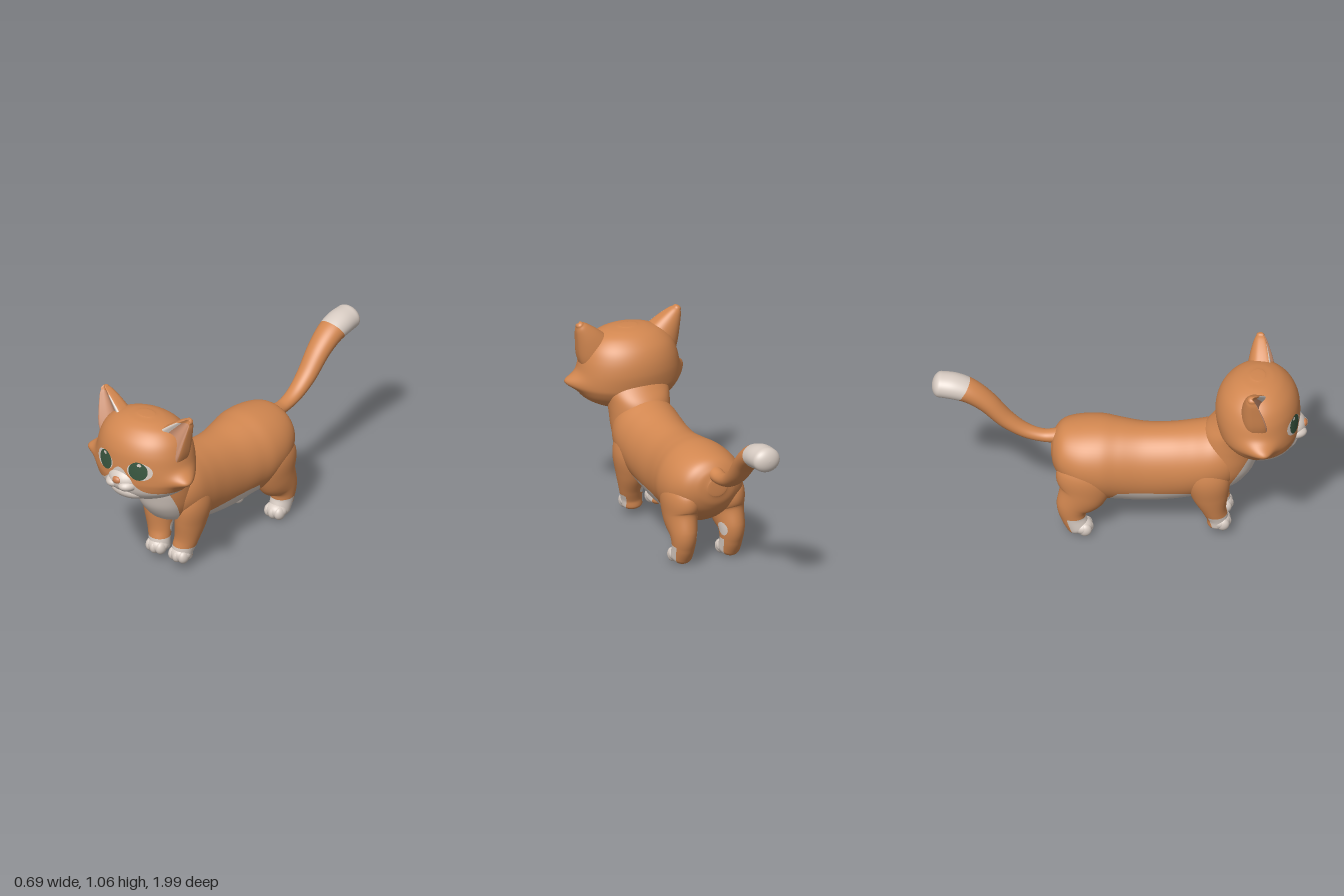
import * as THREE from 'three';

const flat = (name, color) => {
  const m = new THREE.MeshStandardMaterial({ color });
  m.name = name;
  return m;
};

// Smooth tube through keys [x, y, z, halfWidth, halfDepth], closed by rounded caps.
// Rings stand square to the path, or to a fixed axis when one is given.
// The uv attribute holds the cosine and sine of the angle around each ring.
function loft(keys, { capA = 0.02, capB = 0.02, segs = 48, steps = 8, axis, depth = s => s, move } = {}) {
  const path = new THREE.CatmullRomCurve3(keys.map(k => new THREE.Vector3(k[0], k[1], k[2])), false, 'catmullrom');
  const size = new THREE.CatmullRomCurve3(keys.map(k => new THREE.Vector3(k[3], k[4], 0)), false, 'catmullrom');
  const rings = [], CAP = 10, n = (keys.length - 1) * steps;
  for (let i = 0; i < CAP; i++) {
    const a = i / CAP * Math.PI / 2;
    rings.push([0, -capA * Math.cos(a), Math.sin(a)]);
  }
  for (let i = 0; i <= n; i++) rings.push([i / n, 0, 1]);
  for (let i = CAP - 1; i >= 0; i--) {
    const a = i / CAP * Math.PI / 2;
    rings.push([1, capB * Math.cos(a), Math.sin(a)]);
  }
  const pos = [], uv = [], index = [];
  rings.forEach(([t, off, scale], i) => {
    const T = axis || path.getTangent(t), P = path.getPoint(t).addScaledVector(T, off), R = size.getPoint(t);
    const U = new THREE.Vector3(1, 0, 0).addScaledVector(T, -T.x).normalize();
    const V = new THREE.Vector3().crossVectors(T, U);
    for (let j = 0; j < segs; j++) {
      const a = j / segs * Math.PI * 2, c = Math.cos(a), s = Math.sin(a);
      const p = P.clone().addScaledVector(U, c * R.x * scale).addScaledVector(V, depth(s) * R.y * scale);
      if (move) move(p);
      pos.push(p.x, p.y, p.z);
      uv.push(c, s);
      if (i < rings.length - 1) {
        const k = (j + 1) % segs, A = i * segs + j, B = i * segs + k, C = A + segs, D = B + segs;
        index.push(A, B, C, B, D, C);
      }
    }
  });
  const g = new THREE.BufferGeometry();
  g.setAttribute('position', new THREE.Float32BufferAttribute(pos, 3));
  g.setAttribute('uv', new THREE.Float32BufferAttribute(uv, 2));
  g.setIndex(index);
  g.computeVertexNormals();
  return g;
}

// Part of a polygon where sign * value >= 0
function clip(poly, vals, sign) {
  const out = [];
  poly.forEach((p, i) => {
    const k = (i + 1) % poly.length, a = vals[i] * sign, b = vals[k] * sign;
    if (a >= 0) out.push(p);
    if ((a > 0 && b < 0) || (a < 0 && b > 0)) out.push(p.map((v, m) => v + (poly[k][m] - v) * a / (a - b)));
  });
  return out;
}

// Cuts a surface cleanly along field(x, y, z, c, s) = 0; positive areas take the layer's material.
function painted(name, geo, base, layers) {
  const g = geo.toNonIndexed(), { position: P, normal: N, uv: W } = g.attributes;
  const mats = [...new Set([...layers.map(l => l[0]), base])];
  const buckets = mats.map(() => []);
  for (let i = 0; i < P.count; i += 3) {
    let rest = [[0, 1, 2].map(k => {
      const v = i + k;
      return [P.getX(v), P.getY(v), P.getZ(v), W.getX(v), W.getY(v), N.getX(v), N.getY(v), N.getZ(v)];
    })];
    for (const [mat, f] of layers) {
      const next = [];
      for (const poly of rest) {
        const vals = poly.map(p => f(...p) || -1e-9);
        const hit = clip(poly, vals, 1), miss = clip(poly, vals, -1);
        if (hit.length > 2) buckets[mats.indexOf(mat)].push(hit);
        if (miss.length > 2) next.push(miss);
      }
      rest = next;
    }
    buckets[mats.indexOf(base)].push(...rest);
  }
  const pos = [], nor = [], out = new THREE.BufferGeometry();
  buckets.forEach((polys, m) => {
    const start = pos.length / 3;
    for (const poly of polys) for (let k = 1; k < poly.length - 1; k++) {
      for (const p of [poly[0], poly[k], poly[k + 1]]) {
        pos.push(p[0], p[1], p[2]);
        nor.push(p[5], p[6], p[7]);
      }
    }
    out.addGroup(start, pos.length / 3 - start, m);
  });
  out.setAttribute('position', new THREE.Float32BufferAttribute(pos, 3));
  out.setAttribute('normal', new THREE.Float32BufferAttribute(nor, 3));
  const mesh = new THREE.Mesh(out, mats);
  mesh.name = name;
  return mesh;
}

function blob(name, mat, p, r) {
  const mesh = new THREE.Mesh(new THREE.SphereGeometry(1, 28, 20), mat);
  mesh.name = name;
  mesh.position.set(...p);
  mesh.scale.set(...r);
  return mesh;
}

const ellipse = (x, y, cx, cy, rx, ry) => 1 - ((x - cx) / rx) ** 2 - ((y - cy) / ry) ** 2;

export function createModel() {
  const cat = new THREE.Group();
  cat.name = 'cat';
  const orange = flat('orangeFur', 0xd28750), cream = flat('creamFur', 0xd8ccc3);
  const green = flat('eyeGreen', 0x395740), pink = flat('earPink', 0xd09474), noseMat = flat('noseOrange', 0xcc8152);
  const up = new THREE.Vector3(0, 1, 0), forward = new THREE.Vector3(0, 0, 1);

  // Torso and neck with cream chest and belly
  const chest = [cream, (x, y, z) => Math.min(
    ellipse(x, y, 0, 0.43, 0.143, y < 0.43 ? 0.18 : 0.3), (z - 0.555 - Math.max(0, y - 0.28) * 0.55) * 10)];
  const belly = [cream, (x, y, z) => Math.min(0.293 - y, z + (0.293 - y) * 0.8, 0.62 - z)];
  cat.add(painted('body', loft([
    [0, 0.46, -0.362, 0.06, 0.055], [0, 0.455, -0.345, 0.118, 0.105], [0, 0.445, -0.3, 0.176, 0.158],
    [0, 0.424, -0.21, 0.215, 0.202], [0, 0.41, -0.1, 0.222, 0.225], [0, 0.4, 0, 0.203, 0.225],
    [0, 0.39, 0.13, 0.184, 0.223], [0, 0.402, 0.27, 0.181, 0.22], [0, 0.427, 0.39, 0.187, 0.215],
    [0, 0.459, 0.5, 0.188, 0.202], [0, 0.468, 0.58, 0.165, 0.17], [0, 0.468, 0.635, 0.115, 0.11]],
  { capA: 0.005, capB: 0.02, segs: 64, axis: forward }), orange, [chest, belly]));
  cat.add(painted('neck', loft([
    [0, 0.285, 0.525, 0.06, 0.05], [0, 0.32, 0.54, 0.11, 0.1], [0, 0.4, 0.56, 0.145, 0.142],
    [0, 0.48, 0.575, 0.16, 0.156], [0, 0.57, 0.59, 0.165, 0.164], [0, 0.64, 0.612, 0.17, 0.167],
    [0, 0.7, 0.657, 0.185, 0.163], [0, 0.75, 0.695, 0.19, 0.16]],
  { capA: 0.005, capB: 0.005, segs: 64, axis: up }), orange, [chest]));

  // Head: the sides are drawn out into pointed cheeks
  const cheek = p => {
    const k = (Math.abs(p.x) / 0.295) ** 7 * Math.exp(-(((p.y - 0.708) / 0.042) ** 2) - ((p.z - 0.755) / 0.1) ** 2);
    p.x += Math.sign(p.x) * 0.056 * k;
    p.z += 0.045 * k;
  };
  const face = (z, v) => Math.min(v, (z - 0.75) * 10);
  cat.add(painted('head', loft([
    [0, 0.541, 0.762, 0.05, 0.05], [0, 0.55, 0.76, 0.105, 0.1], [0, 0.575, 0.757, 0.182, 0.15],
    [0, 0.62, 0.75, 0.252, 0.19], [0, 0.67, 0.74, 0.284, 0.213], [0, 0.71, 0.735, 0.292, 0.22],
    [0, 0.78, 0.73, 0.282, 0.224], [0, 0.85, 0.73, 0.265, 0.215], [0, 0.91, 0.73, 0.236, 0.188],
    [0, 0.957, 0.73, 0.186, 0.142], [0, 0.983, 0.73, 0.12, 0.092], [0, 0.994, 0.73, 0.055, 0.042]],
  { capA: 0.003, capB: 0.003, segs: 128, steps: 9, axis: up, move: cheek }), orange, [
    [cream, (x, y, z) => face(z, ellipse(Math.abs(x), y, 0.115, 0.803, 0.014, 0.01))],
    [green, (x, y, z) => face(z, ellipse(Math.abs(x), y, 0.109, 0.766, 0.052, 0.053))],
    [cream, (x, y, z) => face(z, ellipse(Math.abs(x), y, 0.117, 0.765, 0.068, 0.051))],
    [cream, (x, y, z) => 0.635 + 0.13 * Math.exp(-((x / 0.087) ** 2)) - Math.max(0, 0.76 - z) * 1.3 - y],
  ]));

  // Muzzle and nose
  cat.add(blob('muzzle', cream, [0, 0.682, 0.897], [0.097, 0.074, 0.09]));
  cat.add(blob('chin', cream, [0, 0.606, 0.866], [0.12, 0.05, 0.079]));
  cat.add(blob('nose', noseMat, [0, 0.695, 0.976], [0.028, 0.021, 0.018]));

  for (const s of [1, -1]) {
    const side = s > 0 ? 'left' : 'right';
    cat.add(blob(side + 'Lip', cream, [s * 0.04, 0.665, 0.915], [0.055, 0.037, 0.079]));

    // Ear: a cup with a forward rim and a shallow hollow
    const cup = v => (v < 0 ? -0.95 * Math.sin(-2.7 * v) : v);
    cat.add(painted(side + 'Ear', loft([
      [s * 0.17, 0.85, 0.73, 0.112, 0.074], [s * 0.2, 0.9, 0.728, 0.098, 0.07], [s * 0.238, 0.965, 0.724, 0.068, 0.054],
      [s * 0.272, 1.02, 0.721, 0.038, 0.034], [s * 0.286, 1.042, 0.72, 0.021, 0.021]],
    { capB: 0.016, depth: cup }), orange, [
      [cream, (x, y, z, c, v) => Math.min(-v - 0.4, -c * s - 0.5, 1.03 - y)],
      [pink, (x, y, z, c, v) => Math.min(-v - 0.45, 1.032 - y)],
    ]));

    // Legs with cream paws and an inner cream spot
    const leg = (name, keys, capB, top, back, spot) => painted(side + name,
      loft(keys.map(k => [k[0] * s, ...k.slice(1)]), { capA: 0.07, capB }), orange, [
        [cream, (x, y, z) => Math.min(top - y, z - back - Math.max(0, top - y) * 0.3)],
        [cream, (x, y, z) => 0.038 - Math.hypot(x - s * spot[0], y - spot[1], z - spot[2])],
      ]);
    cat.add(leg('FrontLeg', [
      [0.11, 0.49, 0.46, 0.065, 0.1], [0.115, 0.38, 0.473, 0.082, 0.118], [0.104, 0.27, 0.485, 0.076, 0.1],
      [0.091, 0.17, 0.504, 0.065, 0.067], [0.08, 0.11, 0.52, 0.059, 0.057], [0.076, 0.07, 0.525, 0.057, 0.058]],
    0.03, 0.13, 0.475, [0.04, 0.18, 0.462]));
    cat.add(leg('HindLeg', [
      [0.105, 0.47, -0.17, 0.085, 0.12], [0.124, 0.37, -0.175, 0.1, 0.155], [0.134, 0.27, -0.19, 0.087, 0.135],
      [0.14, 0.18, -0.237, 0.07, 0.093], [0.14, 0.11, -0.238, 0.061, 0.068], [0.14, 0.05, -0.215, 0.058, 0.06]],
    0.045, 0.115, -0.27, [0.075, 0.175, -0.265]));
    for (const [name, x, y, z] of [['FrontPaw', 0.077, 0.082, 0.538], ['HindPaw', 0.14, 0.047, -0.188]]) {
      const paw = new THREE.Group();
      paw.name = side + name;
      paw.add(blob('pad', cream, [s * x, y, z], [0.061, 0.044, 0.054]));
      for (const d of [-1, 0, 1]) {
        paw.add(blob('toe', cream, [s * x + d * 0.033, y - 0.006, z + 0.022 - Math.abs(d) * 0.008], [0.027, 0.038, 0.036]));
      }
      cat.add(paw);
    }
  }

  // Tail with cream tip
  cat.add(painted('tail', loft([
    [0, 0.53, -0.32, 0.045, 0.04], [0, 0.525, -0.41, 0.04, 0.033], [0, 0.555, -0.51, 0.046, 0.037],
    [0, 0.625, -0.61, 0.056, 0.046], [0, 0.73, -0.71, 0.066, 0.054], [0, 0.795, -0.8, 0.075, 0.062],
    [0, 0.822, -0.88, 0.08, 0.068], [0, 0.83, -0.955, 0.077, 0.067]], { capB: 0.045 }),
  orange, [[cream, (x, y, z) => -0.83 + (y - 0.81) * 0.6 - z]]));

  return cat;
}
